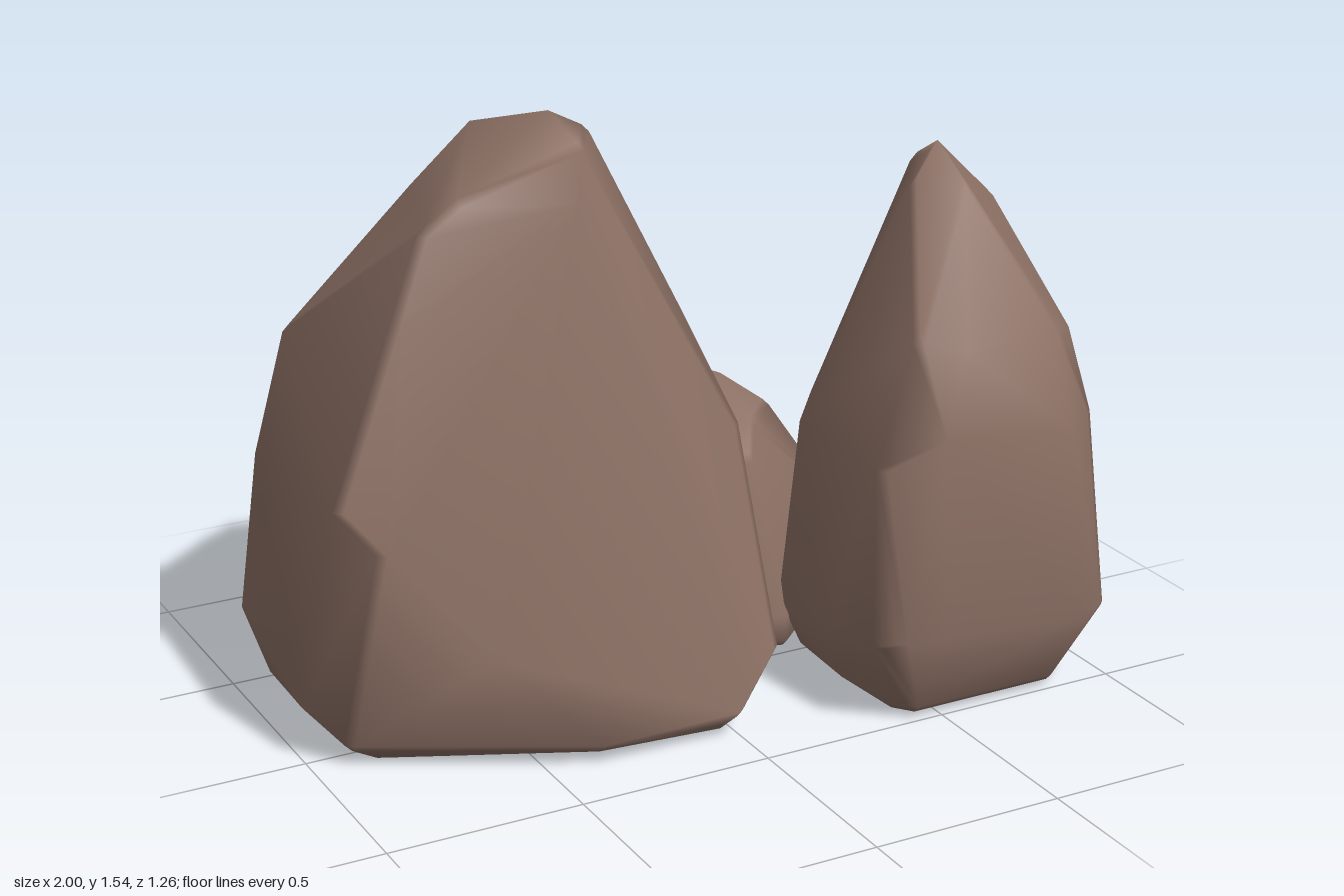
import * as THREE from 'three';
import { ConvexGeometry } from 'three/addons/geometries/ConvexGeometry.js';
import { mergeVertices } from 'three/addons/utils/BufferGeometryUtils.js';

const BEVEL = 0.02;

// Each rock is a convex hull over corner points [x, y, z].
const largeRock = [
  // base
  [-0.85, 0, -0.42], [-0.76, 0, -0.51], [0, 0.01, -0.52], [0.05, 0.02, 0.25], [-0.02, 0.01, 0.34], [-0.35, 0.01, 0.31], [-0.85, 0, 0.06],
  [-0.93, 0.04, -0.42], [-0.92, 0.04, 0.07], [-0.37, 0.04, 0.36],
  // widest band
  [0.15, 0.1, -0.42], [0.15, 0.1, 0.2], [0.13, 0.18, 0.33], [0, 0.06, 0.39], [-1, 0.13, 0],
  [0.1, 0.25, -0.56], [0.03, 0.25, -0.6], [-0.7, 0.25, -0.63], [-0.88, 0.2, -0.59], [-0.97, 0.2, -0.5],
  // front left chamfer
  [-0.96, 0.7, 0.16], [-0.88, 0.6, 0.23], [-0.65, 0.32, 0.34],
  // flanks
  [-0.94, 0.65, -0.42], [0.11, 0.76, -0.45], [0.11, 0.73, 0.15], [0.03, 0.78, -0.56], [-0.58, 0.6, -0.6],
  // shoulders
  [-0.84, 0.95, -0.45], [-0.68, 0.97, -0.53], [-0.08, 1.08, -0.49], [-0.02, 1.09, -0.44], [0, 1.03, 0.03], [-0.28, 0.88, 0.23], [-0.08, 0.92, 0.17],
  [-0.78, 1.13, 0.12], [-0.69, 1.32, 0.08], [-0.6, 1.38, 0.08], [-0.1, 1.24, -0.02], [-0.33, 1.37, 0.15],
  // crown
  [-0.53, 1.29, -0.37], [-0.39, 1.45, -0.31], [-0.32, 1.54, 0], [-0.24, 1.5, 0.02], [-0.29, 1.48, 0.1],
];

const mediumRock = [
  // base
  [0.38, 0.015, 0.44], [0.42, 0.015, 0.49], [0.84, 0.015, 0.49], [0.92, 0.01, 0.42], [0.91, 0.01, 0.2], [0.8, 0.01, 0.03], [0.72, 0.01, -0.06], [0.45, 0.01, -0.06], [0.37, 0.015, 0.02],
  [0.31, 0.06, 0.3], [0.97, 0.05, 0.27],
  // widest band
  [0.29, 0.22, 0.52], [0.28, 0.18, 0.3], [0.31, 0.15, 0], [0.4, 0.1, -0.08], [0.55, 0.06, -0.11], [0.75, 0.12, -0.1],
  [1, 0.13, 0.22], [0.97, 0.2, 0.52], [0.93, 0.23, 0.57], [0.83, 0.24, 0.63], [0.43, 0.25, 0.6], [0.33, 0.24, 0.57],
  // flanks
  [0.31, 0.68, 0.48], [0.32, 0.68, 0.08], [0.43, 0.7, -0.05], [0.78, 0.55, -0.09], [0.93, 0.5, 0], [0.97, 0.55, 0.08], [0.94, 0.72, 0.46], [0.81, 0.74, 0.58], [0.43, 0.77, 0.57],
  // shoulders
  [0.43, 0.98, 0.45], [0.52, 0.97, 0.52], [0.83, 0.96, 0.46], [0.91, 0.93, 0.39], [0.89, 1.14, 0.1], [0.86, 1.21, 0.09], [0.76, 1.1, 0], [0.58, 1.08, 0.01],
  // crown
  [0.58, 1.3, 0.18], [0.63, 1.34, 0.1], [0.66, 1.38, 0.15], [0.73, 1.33, 0.08], [0.66, 1.31, 0.27],
];

const smallRock = [
  // base
  [0.12, 0.015, -0.38], [0.22, 0.015, -0.46], [0.34, 0.015, -0.46], [0.5, 0.015, -0.34], [0.54, 0.02, -0.18], [0.34, 0.015, 0], [0.12, 0.015, -0.06],
  // middle
  [0.08, 0.05, -0.3], [0.1, 0.12, -0.04], [0.25, 0.12, 0.03], [0.3, 0.12, 0.06], [0.5, 0.13, -0.1], [0.58, 0.15, -0.18], [0.6, 0.33, -0.23],
  [0.58, 0.25, -0.29], [0.53, 0.25, -0.37], [0.33, 0.15, -0.49], [0.25, 0.3, -0.5], [0.2, 0.36, -0.49], [0.13, 0.35, -0.44],
  // crown
  [0.12, 0.54, -0.07], [0.27, 0.53, -0.08], [0.11, 0.6, -0.3], [0.16, 0.65, -0.37], [0.2, 0.57, -0.42], [0.26, 0.7, -0.33], [0.31, 0.68, -0.32], [0.32, 0.6, -0.16], [0.42, 0.6, -0.27],
];

// Hull with small bevels; area-weighted normals keep the big facets flat.
function rockGeometry(corners) {
  const points = corners.map((c) => new THREE.Vector3(...c));
  const box = new THREE.Box3().setFromPoints(points);
  const center = box.getCenter(new THREE.Vector3());
  const half = box.getSize(new THREE.Vector3()).multiplyScalar(0.5);
  const inset = new THREE.Vector3(1 - BEVEL / half.x, 1 - BEVEL / half.y, 1 - BEVEL / half.z);
  const rounded = [];
  for (const p of points) {
    p.sub(center).multiply(inset).add(center);
    for (const axis of ['x', 'y', 'z']) {
      for (const sign of [-1, 1]) {
        const q = p.clone();
        q[axis] += sign * BEVEL;
        rounded.push(q);
      }
    }
  }
  const hull = new ConvexGeometry(rounded);
  hull.deleteAttribute('normal');
  const geometry = mergeVertices(hull, 1e-5);
  geometry.computeVertexNormals();
  return geometry;
}

export function createModel() {
  const stone = new THREE.MeshStandardMaterial({ color: 0x8c7064 });
  stone.name = 'brown stone';

  const group = new THREE.Group();
  group.name = 'rockCluster';
  for (const [name, corners] of Object.entries({ largeRock, mediumRock, smallRock })) {
    const mesh = new THREE.Mesh(rockGeometry(corners), stone);
    mesh.name = name;
    group.add(mesh);
  }
  return group;
}
